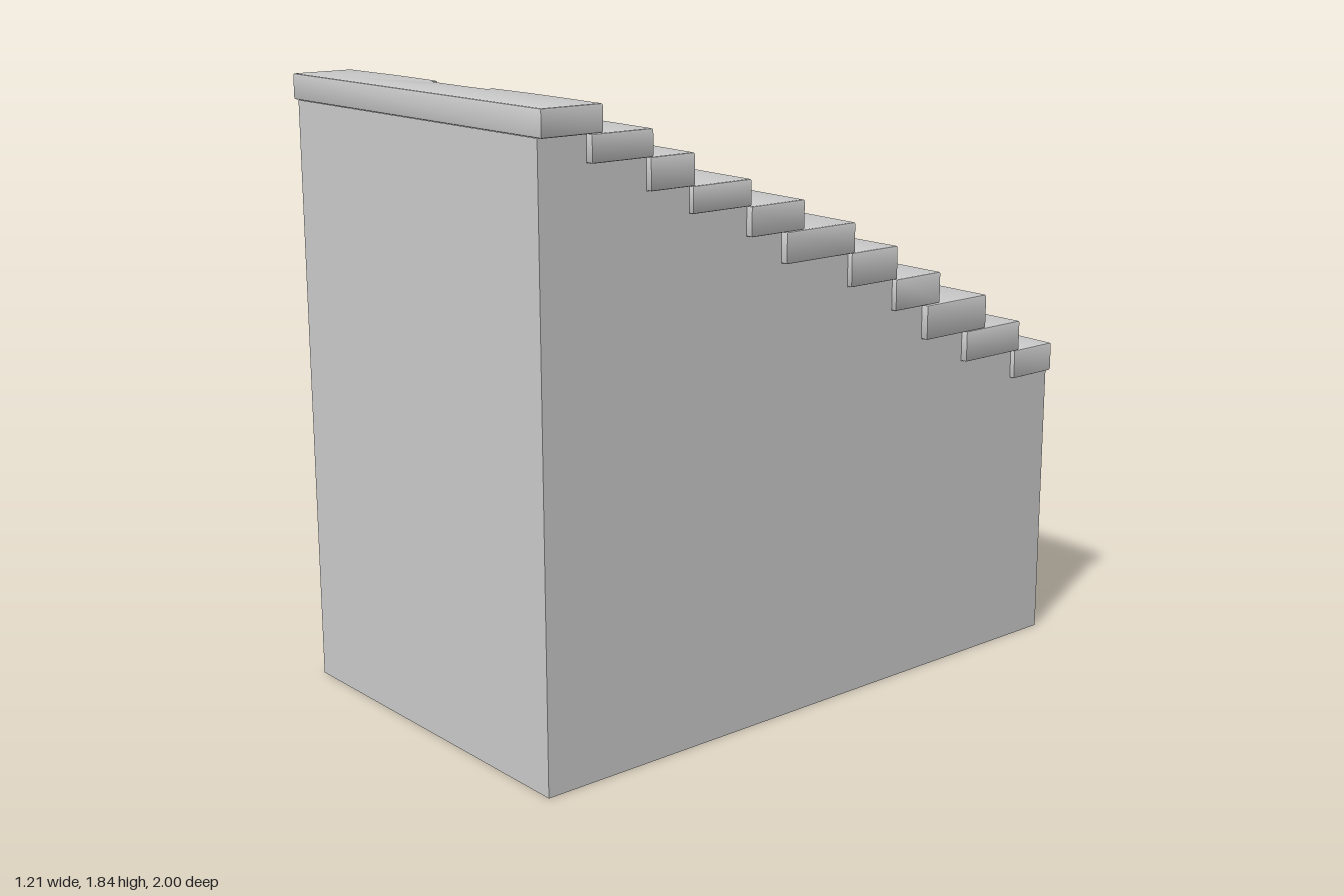
import * as THREE from 'three';
import { toCreasedNormals } from 'three/addons/utils/BufferGeometryUtils.js';

const END = 0.6, HALF = 0.58, TOP = 1.84;

// One tread: underside height, front z, back z, sag of the back edge,
// and one notch (x from, x to, z offset) broken into or left on that edge
const tread = (y, front, back, sag, from, to, notch) => ({ y, front, back, sag, from, to, notch });
const treads = [
  tread(1.765, 1.0, 0.803, 0, -0.145, 0.125, 0.022),
  tread(1.69, 0.845, 0.643, 0, 0, 0, 0),
  tread(1.6, 0.65, 0.443, -0.005, 0.34, 0.7, 0.055),
  tread(1.525, 0.505, 0.294, 0, -0.115, 0.115, -0.024),
  tread(1.44, 0.3, 0.1, 0, -0.355, -0.107, 0.055),
  tread(1.35, 0.17, -0.098, 0, 0.115, 0.35, -0.016),
  tread(1.25, -0.09, -0.28, 0.016, -0.7, -0.37, -0.022),
  tread(1.155, -0.275, -0.465, 0.01, -0.135, 0.115, 0.018),
  tread(1.05, -0.405, -0.643, 0.012, 0.34, 0.7, -0.024),
  tread(0.955, -0.585, -0.829, 0.012, -0.7, -0.355, -0.028),
  tread(0.865, -0.815, -0.992, -0.01, 0, 0, 0),
];

// z of a tread's worn back edge at a given x
function edgeZ({ back, sag, from, to, notch }, x) {
  const wear = sag * Math.cos((Math.PI * x) / (2 * END)) + 0.004 * Math.cos(10 * x);
  return Math.max(-1, back + wear + (x > from && x < to ? notch : 0));
}

// Slab cut from its plan outline, with softened rims
function treadGeometry(t, top, index) {
  const right = -END - 0.005 * Math.sin(index * 2.1), left = END + 0.004 * Math.sin(index * 1.7);
  const xs = [];
  for (let i = 0; i <= 16; i++) xs.push(THREE.MathUtils.lerp(left, right, i / 16));
  // steep shoulders on both sides of the notch
  const shoulders = t.notch ? [t.from, t.to].filter((x) => Math.abs(x) < END) : [];
  const outline = xs.filter((x) => shoulders.every((s) => Math.abs(x - s) > 0.015));
  for (const s of shoulders) outline.push(s - 0.006, s + 0.006);
  outline.sort((a, b) => b - a);

  const shape = new THREE.Shape();
  shape.moveTo(right, -t.front);
  shape.lineTo(left, -t.front);
  for (const x of outline) shape.lineTo(x, -edgeZ(t, x));
  const b = 0.005;
  const geo = new THREE.ExtrudeGeometry(shape, {
    depth: top - t.y - 2 * b, bevelEnabled: true, bevelThickness: b, bevelSize: b, bevelOffset: -b, bevelSegments: 2,
  });
  geo.rotateX(-Math.PI / 2).translate(0, t.y + b, 0);
  return toCreasedNormals(geo, 0.6);
}

export function createModel() {
  const group = new THREE.Group();
  const material = new THREE.MeshStandardMaterial({ color: 0xcccccc });
  const wallMaterial = new THREE.MeshStandardMaterial({ color: 0xcccccc, side: THREE.DoubleSide });
  const add = (name, geo, mat) => {
    const mesh = new THREE.Mesh(geo, mat);
    mesh.name = name;
    group.add(mesh);
  };

  // Treads, highest at the front
  treads.forEach((t, i) => add('tread' + (i + 1), treadGeometry(t, i ? treads[i - 1].y : TOP, i), material));

  // Stepped side walls; the base is a hollow shell open underneath
  const last = treads[treads.length - 1];
  const frontZ = 0.998, inset = 0.002;
  for (const [name, x] of [['leftWall', HALF], ['rightWall', -HALF]]) {
    const backZ = edgeZ(last, x) + inset;
    const shape = new THREE.Shape();
    shape.moveTo(-frontZ, 0);
    treads.forEach((t, i) => {
      const next = treads[i + 1];
      shape.lineTo(-Math.min(t.front, frontZ), t.y);
      shape.lineTo(next ? -next.front : -backZ, t.y);
    });
    shape.lineTo(-backZ, 0);
    add(name, new THREE.ShapeGeometry(shape).rotateY(Math.PI / 2).translate(x, 0, 0), wallMaterial);
  }

  // Front wall
  const frontHeight = treads[0].y;
  add('frontWall', new THREE.PlaneGeometry(2 * HALF, frontHeight).translate(0, frontHeight / 2, frontZ), wallMaterial);

  // Back wall, following the lowest tread's edge
  const back = new THREE.PlaneGeometry(2 * HALF, last.y, 16, 1).rotateY(Math.PI).translate(0, last.y / 2, 0);
  const p = back.attributes.position;
  for (let i = 0; i < p.count; i++) p.setZ(i, edgeZ(last, p.getX(i)) + inset);
  back.computeVertexNormals();
  add('backWall', back, wallMaterial);

  return group;
}
